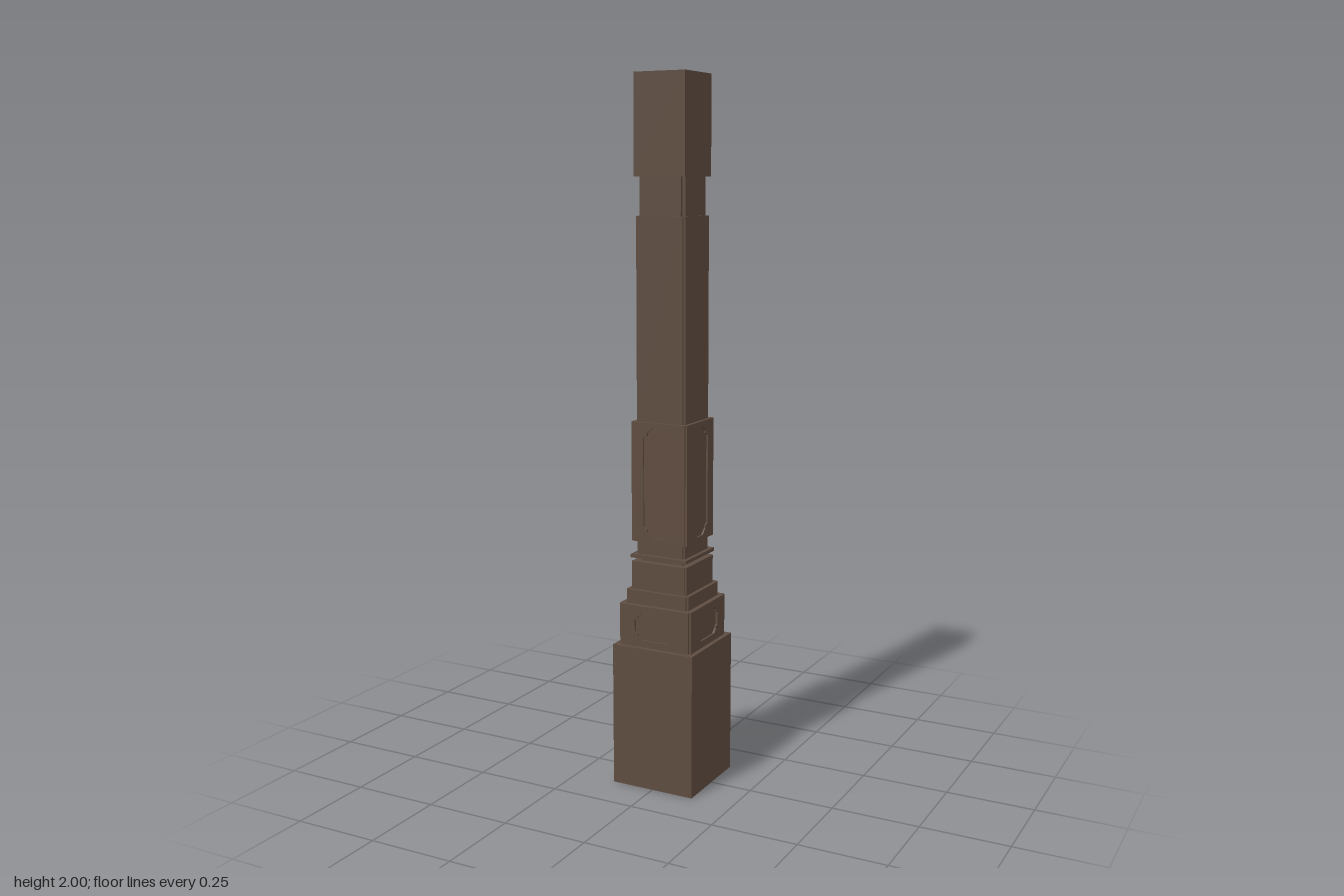
import * as THREE from 'three';

export function createModel() {
  const post = new THREE.Group();
  post.name = 'squarePost';
  const wood = new THREE.MeshStandardMaterial({ color: 0x5e4c40 });
  wood.name = 'darkBrownWood';

  function block(name, half, y0, y1, parent = post) {
    const mesh = new THREE.Mesh(new THREE.BoxGeometry(half * 2, y1 - y0, half * 2), wood);
    mesh.position.y = (y0 + y1) / 2;
    mesh.name = name;
    parent.add(mesh);
  }

  // Panel outline with stepped, chamfered corners (w, h are half sizes)
  function panelPath(w, h, c) {
    const corner = [[w, h - c], [w - c * 0.4, h - c * 0.8], [w - c * 0.4, h - c * 0.55], [w - c * 0.7, h - c * 0.3], [w - c, h]];
    const flip = corner.slice().reverse();
    const points = [
      ...corner,
      ...flip.map(([x, y]) => [-x, y]),
      ...corner.map(([x, y]) => [-x, -y]),
      ...flip.map(([x, y]) => [x, -y]),
    ];
    return new THREE.Path(points.map(([x, y]) => new THREE.Vector2(x, y)));
  }

  // Square tier with notched corners: a core and four facings, some with a sunk panel.
  // Facing order: front, left, back, right.
  function tier(name, half, y0, y1, notch, panel = null, panelSides = []) {
    const group = new THREE.Group();
    group.name = name;
    post.add(group);
    block(name + 'Core', half - notch, y0, y1, group);
    const w = half - notch, h = (y1 - y0) / 2;
    for (let i = 0; i < 4; i++) {
      const shape = new THREE.Shape([[-w, -h], [w, -h], [w, h], [-w, h]].map(([x, y]) => new THREE.Vector2(x, y)));
      if (panel && panelSides.includes(i)) shape.holes.push(panelPath(...panel));
      const geometry = new THREE.ExtrudeGeometry(shape, { depth: notch, bevelEnabled: false });
      geometry.translate(0, (y0 + y1) / 2, half - notch);
      geometry.rotateY(i * Math.PI / 2);
      const facing = new THREE.Mesh(geometry, wood);
      facing.name = name + 'Facing';
      group.add(facing);
    }
  }

  // Stepped foot
  block('base', 0.126, 0, 0.415);
  tier('plinth', 0.113, 0.415, 0.535, 0.006, [0.062, 0.04, 0.022], [0, 1]);
  tier('plinthStep', 0.098, 0.535, 0.575, 0.006);
  tier('lowerBlock', 0.087, 0.575, 0.655, 0.005);

  // Collar with a thin flange
  block('collarGroove', 0.066, 0.655, 0.668);
  block('collarFlange', 0.088, 0.666, 0.676);
  tier('collar', 0.076, 0.676, 0.715, 0.005);

  // Panelled block, shaft, neck and cap
  tier('panelBlock', 0.087, 0.715, 1.055, 0.005, [0.047, 0.157, 0.03], [0, 1, 3]);
  tier('shaft', 0.076, 1.055, 1.62, 0.006);
  tier('neck', 0.07, 1.62, 1.725, 0.009);
  block('cap', 0.078, 1.725, 2);

  return post;
}
